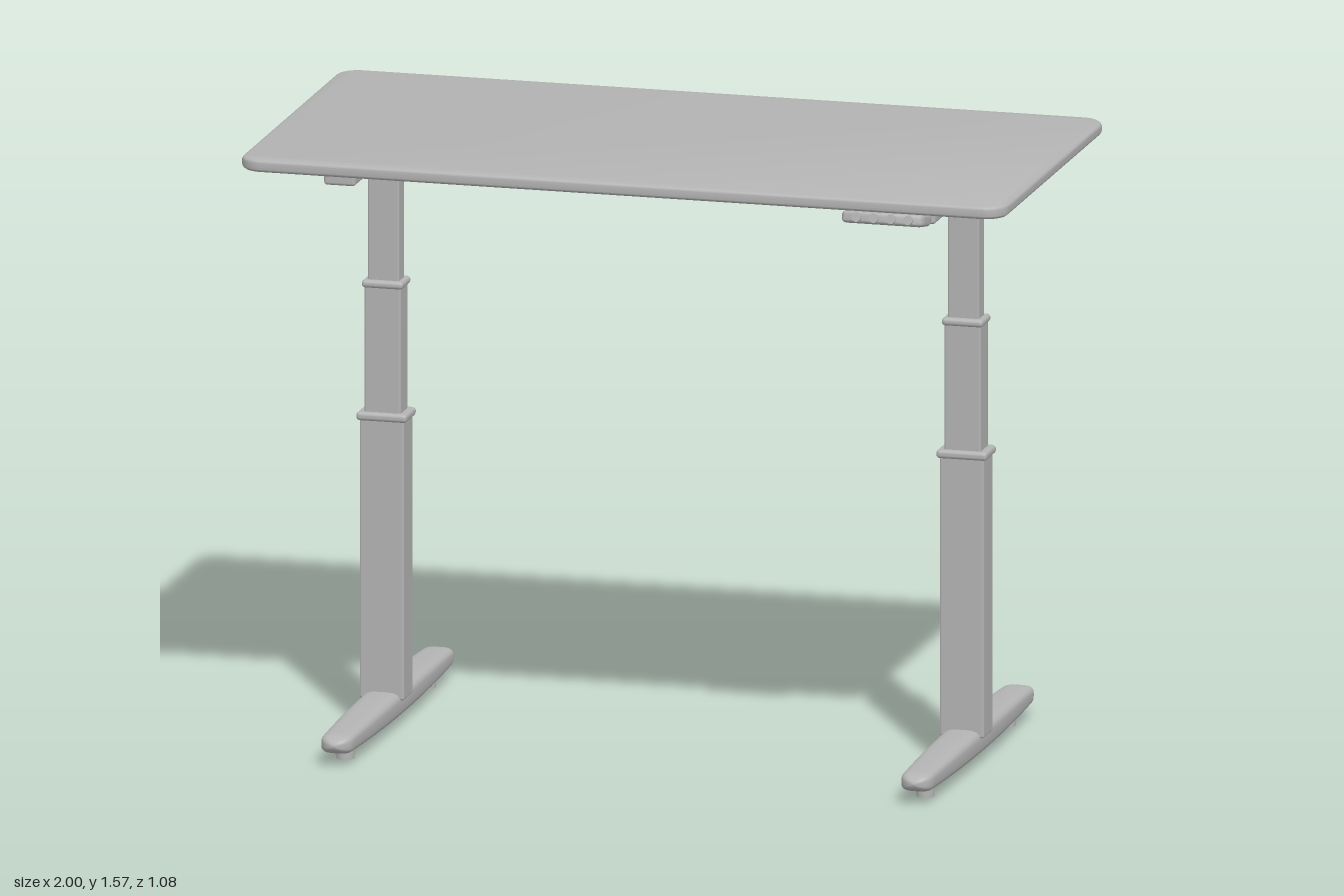
import * as THREE from 'three';
import { toCreasedNormals } from 'three/addons/utils/BufferGeometryUtils.js';
import { RoundedBoxGeometry } from 'three/addons/geometries/RoundedBoxGeometry.js';

const grey = new THREE.MeshStandardMaterial({ color: 0xb3b3b3 });
grey.name = 'grey';

function add(parent, name, geometry, x = 0, y = 0, z = 0) {
  const mesh = new THREE.Mesh(geometry, grey);
  mesh.name = name;
  mesh.position.set(x, y, z);
  parent.add(mesh);
  return mesh;
}

// Rounded box given by its extents along each axis
function block(parent, name, [x0, x1], [y0, y1], [z0, z1], r) {
  const geo = new RoundedBoxGeometry(x1 - x0, y1 - y0, z1 - z0, 3, r);
  return add(parent, name, geo, (x0 + x1) / 2, (y0 + y1) / 2, (z0 + z1) / 2);
}

// Slab with rounded corners and rounded rim, lying flat
function slab(w, d, h, corner, rim) {
  const a = w / 2 - rim, b = d / 2 - rim, c = corner - rim;
  const s = new THREE.Shape();
  s.absarc(a - c, b - c, c, 0, Math.PI / 2);
  s.absarc(-a + c, b - c, c, Math.PI / 2, Math.PI);
  s.absarc(-a + c, -b + c, c, Math.PI, Math.PI * 1.5);
  s.absarc(a - c, -b + c, c, Math.PI * 1.5, Math.PI * 2);
  s.closePath();
  const geo = new THREE.ExtrudeGeometry(s, {
    depth: h - 2 * rim, bevelThickness: rim, bevelSize: rim, bevelSegments: 4, curveSegments: 8,
  });
  geo.translate(0, 0, rim - h / 2).rotateX(-Math.PI / 2);
  return toCreasedNormals(geo, 0.6);
}

// Long foot: rounded cross-sections lofted along z, with blunt rounded ends
function footGeometry(length) {
  const rings = 48, sides = 32, pos = [], index = [];
  for (let i = 0; i <= rings; i++) {
    const t = -Math.cos((i / rings) * Math.PI);
    const z = (t * length) / 2;
    const fromEnd = Math.min(1, (length / 2 - Math.abs(z)) / 0.04);
    const cap = Math.sqrt(Math.max(0, 1 - (1 - fromEnd) ** 2));
    const hw = (0.051 - 0.011 * t * t) * cap;
    const hh = (0.035 - 0.012 * t * t) * cap;
    for (let j = 0; j < sides; j++) {
      const a = (j / sides) * Math.PI * 2, c = Math.cos(a), s = Math.sin(a);
      pos.push(hw * Math.sign(c) * Math.abs(c) ** 0.6, hh * Math.sign(s) * Math.abs(s) ** 0.6, z);
      if (i < rings) {
        const k = (j + 1) % sides, p = i * sides, q = p + sides;
        index.push(p + j, p + k, q + k, p + j, q + k, q + j);
      }
    }
  }
  const geo = new THREE.BufferGeometry();
  geo.setAttribute('position', new THREE.Float32BufferAttribute(pos, 3));
  geo.setIndex(index);
  geo.computeVertexNormals();
  return geo;
}

// Telescopic leg with foot, glides and top bracket
function leg(name, x) {
  const g = new THREE.Group();
  g.name = name;
  const cz = -0.006;
  const tube = (n, w, d, y0, y1, r) =>
    block(g, n, [x - w / 2, x + w / 2], [y0, y1], [cz - d / 2, cz + d / 2], r);
  tube('lowerColumn', 0.116, 0.088, 0.07, 0.80, 0.006);
  tube('lowerCollar', 0.132, 0.1, 0.79, 0.812, 0.009);
  tube('middleColumn', 0.096, 0.072, 0.78, 1.145, 0.006);
  tube('middleCollar', 0.108, 0.084, 1.133, 1.153, 0.009);
  tube('upperColumn', 0.082, 0.054, 1.12, 1.5, 0.005);
  block(g, 'topBracket', [x - 0.041, x + 0.041], [1.496, 1.54], [-0.363, 0.44], 0.008);
  add(g, 'foot', footGeometry(1.03), x, 0.055, -0.02);
  for (const z of [0.38, -0.395])
    add(g, 'glide', new THREE.CylinderGeometry(0.023, 0.023, 0.04, 24), x, 0.02, z);
  return g;
}

export function createModel() {
  const desk = new THREE.Group();
  desk.name = 'standingDesk';

  add(desk, 'tableTop', slab(2, 0.997, 0.034, 0.06, 0.014), 0, 1.556, 0.033);
  desk.add(leg('leftLeg', 0.757), leg('rightLeg', -0.757));
  block(desk, 'crossBeam', [-0.73, 0.73], [1.465, 1.54], [-0.146, -0.08], 0.006);

  // Control box: sloped profile extruded across x
  const profile = new THREE.Shape();
  [[0.05, 1.527], [0.05, 1.455], [0.064, 1.445], [0.165, 1.445], [0.181, 1.468], [0.181, 1.527]]
    .forEach(([x, y], i) => (i ? profile.lineTo(x, y) : profile.moveTo(x, y)));
  profile.closePath();
  const boxGeo = new THREE.ExtrudeGeometry(profile, {
    depth: 0.38, bevelThickness: 0.01, bevelSize: 0.01, bevelSegments: 3,
  });
  boxGeo.translate(0, 0, -0.19).rotateY(Math.PI / 2);
  add(desk, 'controlBox', toCreasedNormals(boxGeo, 0.6));

  // Tilted hand control with four buttons
  const panel = new THREE.Group();
  panel.name = 'handControl';
  panel.position.set(0.685, 1.518, 0.49);
  panel.rotation.x = -0.2;
  add(panel, 'handControlBody', slab(0.215, 0.09, 0.032, 0.016, 0.012));
  for (let i = 0; i < 4; i++) {
    const button = add(panel, 'button',
      new THREE.CylinderGeometry(0.012, 0.013, 0.008, 20), -0.066 + i * 0.045, 0, 0.045);
    button.rotation.x = Math.PI / 2;
  }
  desk.add(panel);

  // Power cable from the box, down the left leg and out along the floor
  const path = new THREE.CatmullRomCurve3([
    [0.18, 1.485, -0.17], [0.32, 1.48, -0.192], [0.46, 1.466, -0.195], [0.6, 1.45, -0.16],
    [0.7, 1.42, -0.115], [0.74, 1.35, -0.09], [0.75, 1.2, -0.073], [0.75, 0.9, -0.07],
    [0.75, 0.5, -0.07], [0.75, 0.25, -0.076], [0.75, 0.1, -0.094], [0.745, 0.03, -0.13],
    [0.715, 0.014, -0.2], [0.67, 0.008, -0.32], [0.625, 0.008, -0.435],
  ].map((p) => new THREE.Vector3(...p)));
  add(desk, 'powerCable', new THREE.TubeGeometry(path, 160, 0.006, 10));
  add(desk, 'cableEnd', new THREE.SphereGeometry(0.006, 10, 8), 0.625, 0.008, -0.435);

  return desk;
}
